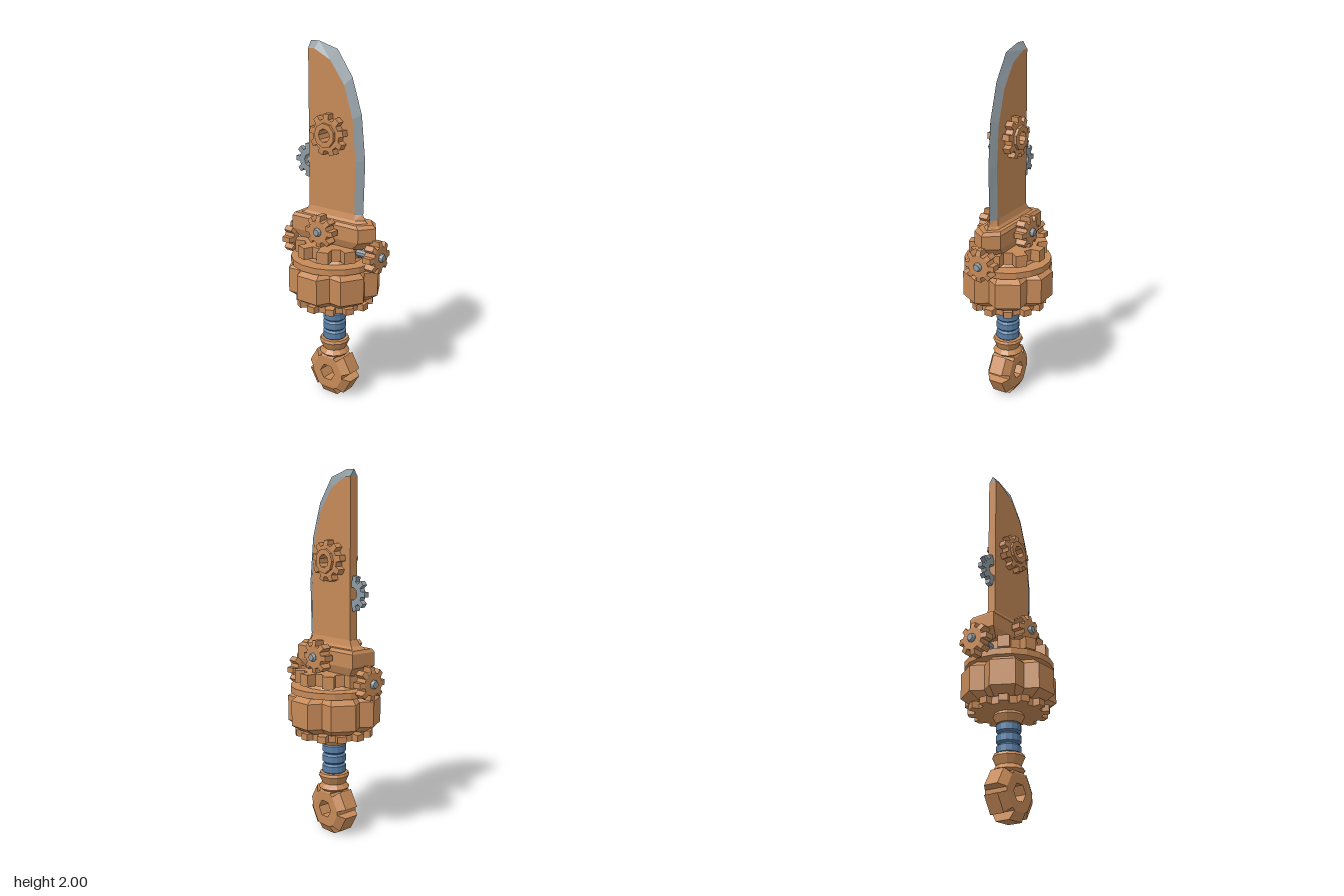
import * as THREE from 'three';
import { mergeGeometries } from 'three/addons/utils/BufferGeometryUtils.js';

const mat = (color) => new THREE.MeshStandardMaterial({ color, flatShading: true });
const V = (x, y, z) => new THREE.Vector3(x, y, z);

// Closed solid through equal-length loops (counter-clockwise seen from the end)
function loft(loops) {
  const p = [];
  const tri = (...vs) => vs.forEach((v) => p.push(v.x, v.y, v.z));
  const n = loops[0].length;
  const mid = (l) => l.reduce((s, v) => s.add(v), V(0, 0, 0)).divideScalar(n);
  const first = loops[0], last = loops[loops.length - 1];
  const c0 = mid(first), c1 = mid(last);
  for (let i = 0; i < n; i++) {
    const j = (i + 1) % n;
    for (let k = 0; k < loops.length - 1; k++) {
      const a = loops[k], b = loops[k + 1];
      tri(a[i], a[j], b[j]);
      tri(a[i], b[j], b[i]);
    }
    tri(c0, first[j], first[i]);
    tri(c1, last[i], last[j]);
  }
  const g = new THREE.BufferGeometry();
  g.setAttribute('position', new THREE.Float32BufferAttribute(p, 3));
  g.computeVertexNormals();
  return g;
}

function circlePath(r, sides, cx = 0, cy = 0) {
  const pts = [];
  for (let i = 0; i < sides; i++) {
    const a = (i / sides) * Math.PI * 2;
    pts.push(new THREE.Vector2(cx + r * Math.cos(a), cy + r * Math.sin(a)));
  }
  return new THREE.Path(pts);
}

// Gear about z: polygonal ring plus teeth that taper towards their tips
function gear({ teeth, root, tip, half, taper = 0.8, hole = 0, holeSides = 8, phase = 0, base = 0.58, top = 0.42 }) {
  const step = (Math.PI * 2) / teeth;
  const hb = (step * base) / 2, ht = (step * top) / 2;
  const outline = [], parts = [];
  const bar = (a, r, h, d) => [[-h, -d], [h, -d], [h, d], [-h, d]].map(([o, z]) =>
    V(r * Math.cos(a + o), r * Math.sin(a + o), z));
  for (let i = 0; i < teeth; i++) {
    const a = phase + i * step;
    for (const o of [-hb, hb]) outline.push(new THREE.Vector2(root * Math.cos(a + o), root * Math.sin(a + o)));
    parts.push(loft([bar(a, root, hb, half), bar(a, tip, ht, half * taper)]));
  }
  const shape = new THREE.Shape(outline);
  if (hole) shape.holes.push(circlePath(hole, holeSides));
  const ring = new THREE.ExtrudeGeometry(shape, { depth: half * 2, bevelEnabled: false });
  ring.translate(0, 0, -half);
  ring.deleteAttribute('uv');
  parts.push(ring);
  return mergeGeometries(parts);
}

export function createModel() {
  const model = new THREE.Group();
  const copper = mat(0xc68a58), steel = mat(0x8f9ca3), blue = mat(0x587fa6);
  const add = (name, geo, material, x = 0, y = 0, z = 0) => {
    const m = new THREE.Mesh(geo, material);
    m.name = name;
    m.position.set(x, y, z);
    model.add(m);
    return m;
  };
  const lathe = (name, pts, sides, material) =>
    add(name, new THREE.LatheGeometry(pts.map(([r, y]) => new THREE.Vector2(r, y)), sides), material);
  const quarter = Math.PI / 2;

  // Pommel gear and the handle stacked above it
  add('pommelGear', gear({ teeth: 6, root: 0.105, tip: 0.148, half: 0.07, taper: 0.6, hole: 0.05,
    holeSides: 6, phase: -quarter, base: 0.8, top: 0.68 }).rotateY(quarter), copper, 0, 0.14, 0);
  lathe('pommelCollar', [[0, 0.235], [0.07, 0.245], [0.086, 0.26], [0.066, 0.285], [0.086, 0.33], [0.08, 0.345], [0, 0.345]], 12, copper);
  const grip = [[0, 0.34]];
  for (let i = 0; i < 3; i++) {
    const y = 0.342 + i * 0.058;
    grip.push([0.054, y], [0.066, y + 0.01], [0.066, y + 0.046], [0.054, y + 0.056]);
  }
  grip.push([0, 0.52]);
  lathe('grip', grip, 14, blue);
  lathe('gripCollar', [[0, 0.508], [0.065, 0.512], [0.086, 0.55], [0.075, 0.57], [0, 0.57]], 12, copper);

  // Hilt: lower gear, notched drum, disc and upper gear
  add('lowerGear', gear({ teeth: 12, root: 0.18, tip: 0.217, half: 0.02, taper: 0.9 }).rotateX(-quarter), copper, 0, 0.585, 0);
  const drumLoop = (s, y) => {
    const loop = [];
    for (let i = 0; i < 6; i++) {
      const a = (i * Math.PI) / 3;
      for (const [o, r] of [[-0.265, 0.256], [0.265, 0.256], [Math.PI / 6, 0.205]])
        loop.push(V(s * r * Math.cos(a + o), y, -s * r * Math.sin(a + o)));
    }
    return loop;
  };
  add('drum', loft([drumLoop(0.78, 0.605), drumLoop(1, 0.64), drumLoop(1, 0.78), drumLoop(0.8, 0.815)]), copper);
  add('disc', new THREE.CylinderGeometry(0.242, 0.242, 0.035, 18), copper, 0, 0.828, 0);
  add('discHub', new THREE.CylinderGeometry(0.15, 0.17, 0.03, 16), copper, 0, 0.855, 0);
  add('upperGear', gear({ teeth: 9, root: 0.165, tip: 0.217, half: 0.033, taper: 1 }).rotateX(-quarter), copper, 0, 0.897, 0);

  // Four small gears on axles around the hilt
  const smallGear = { teeth: 8, root: 0.062, tip: 0.091, half: 0.033, taper: 0.78, phase: quarter };
  const axle = (len) => {
    const g = new THREE.CylinderGeometry(0.018, 0.024, 0.012, 10).translate(0, len / 2 - 0.006, 0);
    const rod = new THREE.CylinderGeometry(0.024, 0.024, len - 0.012, 10).translate(0, -0.006, 0);
    return mergeGeometries([g, rod]).rotateX(quarter);
  };
  for (const s of [1, -1]) {
    const end = s > 0 ? 'front' : 'back', side = s > 0 ? 'left' : 'right';
    const turn = s > 0 ? 0 : Math.PI;
    add(end + 'Gear', gear(smallGear), copper, 0, 0.895, s * 0.278);
    add(end + 'Axle', axle(0.18).rotateY(turn), steel, 0, 0.895, s * 0.24);
    add(side + 'Gear', gear(smallGear).rotateY(quarter), copper, s * 0.116, 1.015, 0);
    add(side + 'Axle', axle(0.11).rotateY(s * quarter), steel, s * 0.112, 1.015, 0);
  }

  // Guard and blade foot: five-sided sections pointed at the front
  const pent = (y, w, back, shoulder, tip) =>
    [V(w, y, -back), V(-w, y, -back), V(-w, y, shoulder), V(0, y, tip), V(w, y, shoulder)];
  add('guard', loft([pent(0.925, 0.06, 0.19, 0.16, 0.22), pent(0.975, 0.08, 0.235, 0.215, 0.275),
    pent(1.05, 0.08, 0.235, 0.215, 0.275), pent(1.067, 0.068, 0.225, 0.195, 0.255)]), copper);
  add('bladeFoot', loft([pent(1.06, 0.052, 0.21, 0.18, 0.23), pent(1.08, 0.034, 0.175, 0.16, 0.205),
    pent(1.112, 0.025, 0.156, 0.15, 0.19)]), copper);

  // Blade body with the through hole; rows are [inner z, inner y, edge z, edge y]
  const t = 0.025, gy = 1.526, gz = -0.008;
  const rows = [[0.15, 1.07, 0.19, 1.07], [0.155, 1.4, 0.2, 1.4], [0.135, 1.62, 0.175, 1.645],
    [0.08, 1.79, 0.115, 1.83], [-0.01, 1.91, 0.02, 1.965], [-0.115, 1.962, -0.1, 2], [-0.155, 1.962, -0.155, 2]];
  const body = new THREE.Shape([...rows.map(([z, y]) => new THREE.Vector2(-z, y)), new THREE.Vector2(0.155, 1.07)]);
  body.holes.push(circlePath(0.036, 9, -gz, gy));
  const slab = new THREE.ExtrudeGeometry(body, { depth: t * 2, bevelEnabled: false });
  add('blade', slab.translate(0, 0, -t).rotateY(quarter), copper);
  add('cuttingEdge', loft(rows.map(([zi, yi, ze, ye]) => [V(t, yi, zi), V(-t, yi, zi), V(0, ye, ze)])), steel);

  // Gear set through the blade and the small one on its spine
  add('bladeGear', gear({ teeth: 9, root: 0.085, tip: 0.112, half: 0.068, taper: 0.95, hole: 0.036,
    holeSides: 9, phase: quarter }).rotateY(quarter), copper, 0, gy, gz);
  const hub = new THREE.Shape(circlePath(0.066, 9).getPoints());
  hub.holes.push(circlePath(0.036, 9));
  add('bladeGearHub', new THREE.ExtrudeGeometry(hub, { depth: 0.166, bevelEnabled: false })
    .translate(0, 0, -0.083).rotateY(quarter), copper, 0, gy, gz);
  add('spineGear', gear({ teeth: 9, root: 0.067, tip: 0.094, half: 0.016, taper: 0.9, hole: 0.034,
    holeSides: 10 }).rotateY(quarter), steel, 0, 1.36, -0.162);
  return model;
}
